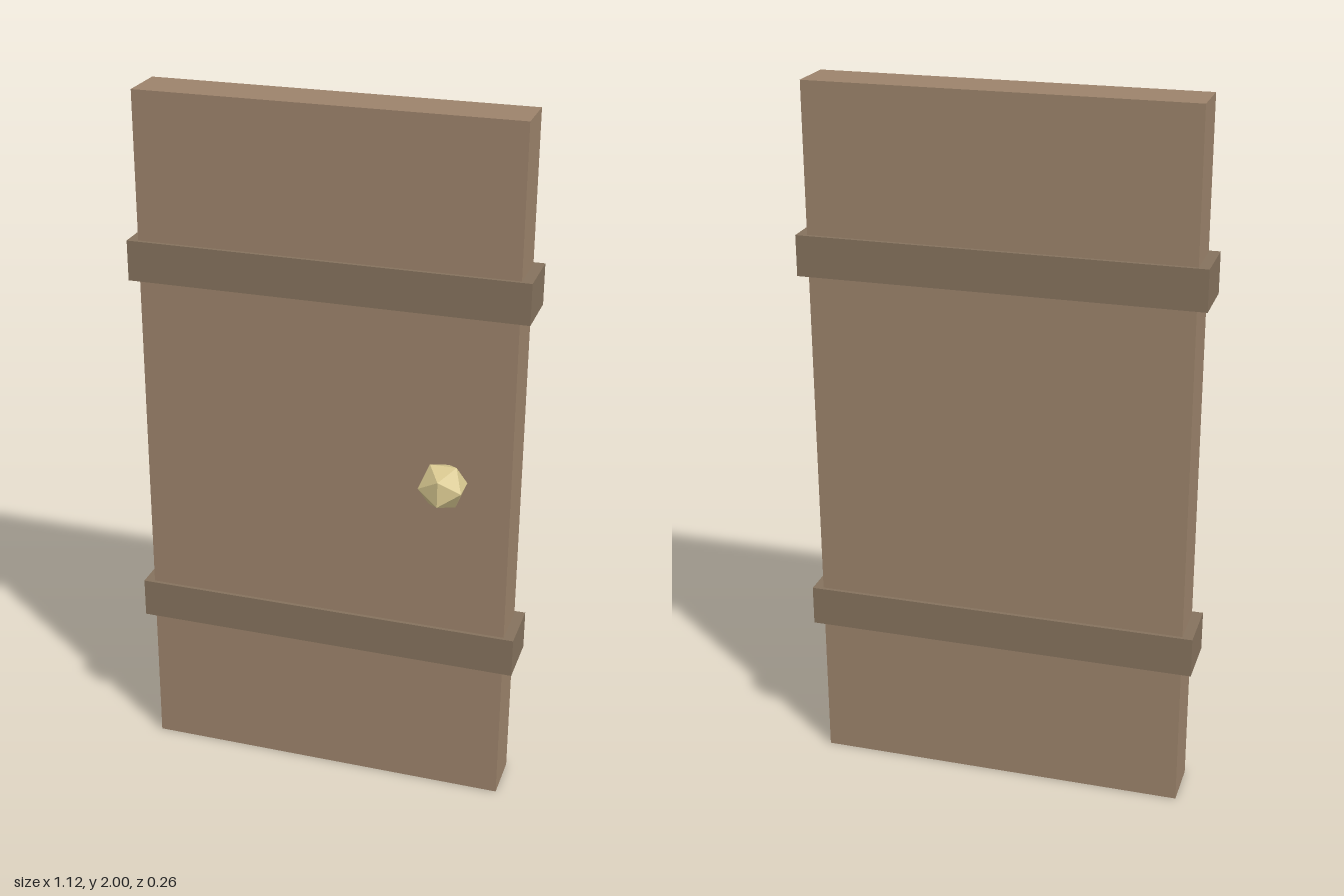
import * as THREE from 'three';

export function createModel() {
  const group = new THREE.Group();
  const zMid = -0.048; // the knob sticks out in front, so the panel sits slightly back

  const material = (color) => new THREE.MeshStandardMaterial({ color, flatShading: true });
  const panelWood = material(0x9c836b);
  const bandWood = material(0x85725d);
  const brass = material(0xd8c890);

  const add = (name, geometry, mat, x, y, z) => {
    const mesh = new THREE.Mesh(geometry, mat);
    mesh.name = name;
    mesh.position.set(x, y, z);
    group.add(mesh);
  };

  // Door slab
  add('panel', new THREE.BoxGeometry(1.057, 2, 0.143), panelWood, 0, 1, zMid);

  // Cross bands wrapping the slab
  const bandGeometry = new THREE.BoxGeometry(1.116, 0.114, 0.164);
  add('lowerBand', bandGeometry, bandWood, 0, 0.471, zMid);
  add('upperBand', bandGeometry, bandWood, 0, 1.53, zMid);

  // Faceted knob
  add('knob', new THREE.IcosahedronGeometry(0.07, 0), brass, 0.35, 1, 0.07);

  return group;
}
